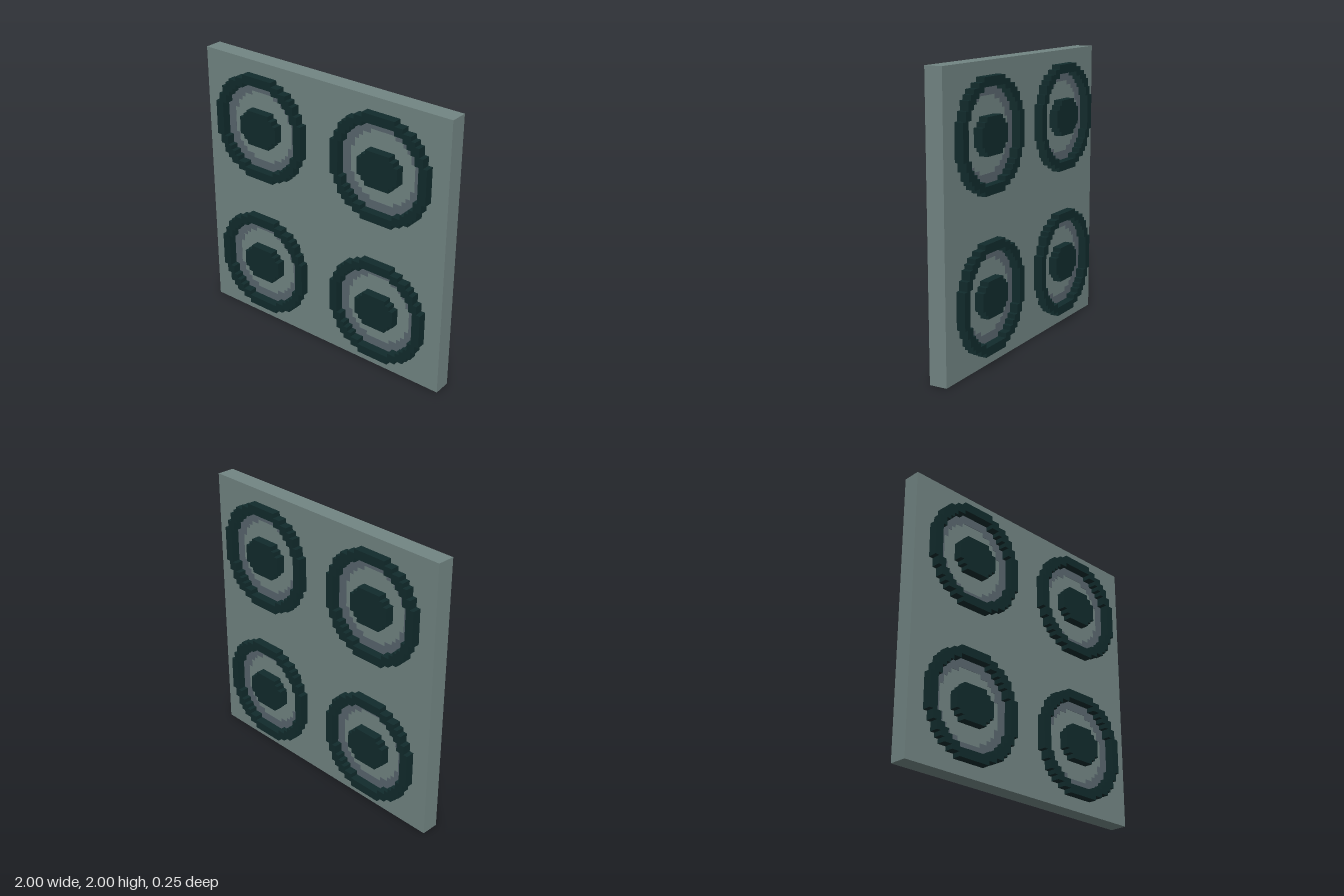
import * as THREE from 'three';

const V = 1 / 32; // one block

const mat = (color) => new THREE.MeshStandardMaterial({ color, flatShading: true });

// Stepped outline of a disc made of square blocks, radius in blocks
function steppedOutline(radius) {
  const n = Math.floor(radius);
  const right = [];
  for (let row = -n; row < n; row++) {
    const half = Math.floor(Math.sqrt(radius * radius - (row + 0.5) ** 2) + 0.5);
    const last = right[right.length - 1];
    if (last && last.x === half * V) last.y = (row + 1) * V;
    else right.push(new THREE.Vector2(half * V, row * V), new THREE.Vector2(half * V, (row + 1) * V));
  }
  const left = right.map((p) => new THREE.Vector2(-p.x, p.y)).reverse();
  return [...right, ...left];
}

// Raised disc or ring with stepped edges
function steppedDisc(outer, inner, depth) {
  const shape = new THREE.Shape(steppedOutline(outer));
  if (inner) shape.holes.push(new THREE.Path(steppedOutline(inner)));
  return new THREE.ExtrudeGeometry(shape, { depth, bevelEnabled: false });
}

export function createModel() {
  const model = new THREE.Group();
  const plateMat = mat(0x728583);
  const darkMat = mat(0x112b2c);
  const bandMat = mat(0x59666e);

  // Square slab
  const plate = new THREE.Mesh(new THREE.BoxGeometry(2, 2, 4 * V), plateMat);
  plate.name = 'plate';
  plate.position.y = 1;
  model.add(plate);

  const parts = [
    ['outerRing', steppedDisc(12.2, 10.2, 2 * V), darkMat],
    ['innerBand', steppedDisc(10.2, 8.2, 0.002), bandMat],
    ['centreStud', steppedDisc(4.8, 0, 2 * V), darkMat],
  ];

  // Four round motifs on each face
  for (const side of ['front', 'back']) {
    const face = new THREE.Group();
    face.name = side + 'Motifs';
    if (side === 'back') face.rotation.y = Math.PI;
    for (const x of [-16, 16]) {
      for (const y of [15, 49]) {
        const motif = new THREE.Group();
        motif.name = 'roundMotif';
        motif.position.set(x * V, y * V, 2 * V);
        for (const [name, geometry, material] of parts) {
          const mesh = new THREE.Mesh(geometry, material);
          mesh.name = name;
          motif.add(mesh);
        }
        face.add(motif);
      }
    }
    model.add(face);
  }
  return model;
}
